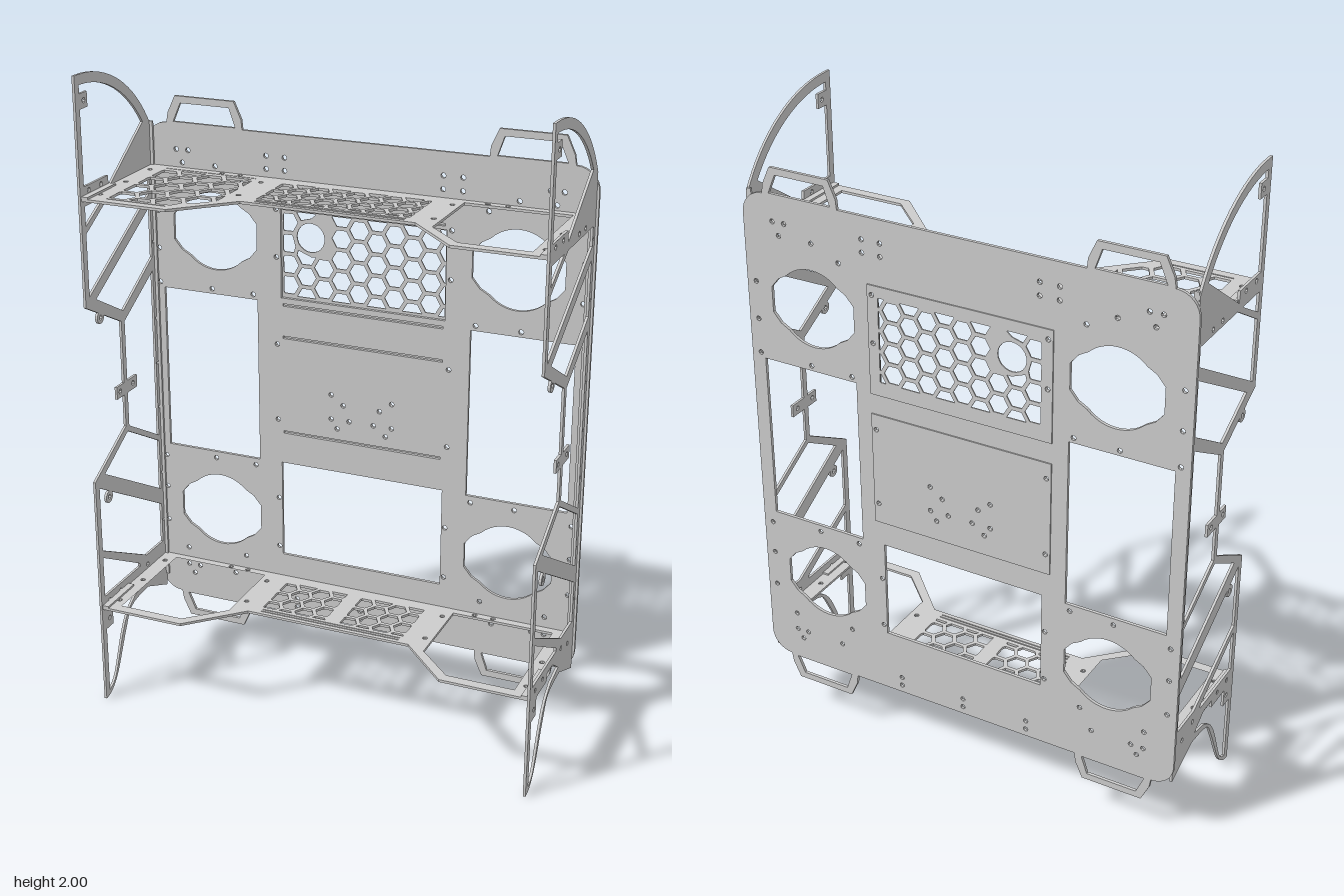
import * as THREE from 'three';

const grey = new THREE.MeshStandardMaterial({ color: 0xcccccc });
const V = (p) => new THREE.Vector2(p[0], p[1]);
const rect = (x0, y0, x1, y1) => [[x0, y0], [x1, y0], [x1, y1], [x0, y1]];
const mirror = (pts) => pts.map(([x, y]) => [-x, y]);
const arc = (cx, cy, r, a0, a1, n) => Array.from({ length: n + 1 }, (_, i) => {
  const a = THREE.MathUtils.degToRad(a0 + (a1 - a0) * i / n);
  return [cx + r * Math.cos(a), cy + r * Math.sin(a)];
});
const ring = (cx, cy, r, n) => arc(cx, cy, r, 0, 360 - 360 / n, n - 1);
const screw = ([x, y]) => ring(x, y, 0.008, 8);

// Flat sheet cut from an outline with holes
function sheet(outline, holes, depth) {
  const s = new THREE.Shape(outline.map(V));
  holes.forEach((h) => s.holes.push(new THREE.Path(h.map(V))));
  return new THREE.ExtrudeGeometry(s, { depth, bevelEnabled: false });
}

function add(parent, name, geometry) {
  const m = new THREE.Mesh(geometry, grey);
  m.name = name;
  parent.add(m);
  return m;
}

function box(parent, name, x0, x1, y0, y1, z0, z1) {
  const g = new THREE.BoxGeometry(x1 - x0, y1 - y0, z1 - z0);
  return add(parent, name, g.translate((x0 + x1) / 2, (y0 + y1) / 2, (z0 + z1) / 2));
}

// Clip a polygon to a convex counter-clockwise region
function clip(poly, region) {
  region.forEach((a, i) => {
    const b = region[(i + 1) % region.length];
    const side = (p) => (b[0] - a[0]) * (p[1] - a[1]) - (b[1] - a[1]) * (p[0] - a[0]);
    const out = [];
    poly.forEach((p, k) => {
      const q = poly[(k + 1) % poly.length], sp = side(p), sq = side(q);
      if (sp >= 0) out.push(p);
      if ((sp > 0 && sq < 0) || (sp < 0 && sq > 0)) {
        const t = sp / (sp - sq);
        out.push([p[0] + (q[0] - p[0]) * t, p[1] + (q[1] - p[1]) * t]);
      }
    });
    poly = out;
  });
  return poly;
}

// Honeycomb holes filling a region; pitch and r are hexagon radii
function honeycomb(region, pitch, r) {
  const xs = region.map((p) => p[0]), ys = region.map((p) => p[1]);
  const x0 = Math.min(...xs), x1 = Math.max(...xs), y0 = Math.min(...ys), y1 = Math.max(...ys);
  const row = Math.sqrt(3) * pitch, holes = [];
  for (let i = 0, x = x0 + r * 0.6; x < x1 + r; x = x0 + r * 0.6 + ++i * 1.5 * pitch)
    for (let y = y0 + (i % 2 ? 0 : row / 2); y < y1 + r; y += row) {
      const h = clip(ring(x, y, r, 6), region);
      if (h.length > 2 && Math.abs(THREE.ShapeUtils.area(h.map(V))) > r * r * 0.25) holes.push(h);
    }
  return holes;
}

// Round port with a step on both sides
function port(cx, cy) {
  const right = [[0.115, -0.07], [0.14, -0.04], [0.14, 0.04], [0.115, 0.07]];
  const r = 0.122;
  const local = [...right, ...arc(0, 0, r, 45, 135, 12),
    ...right.map(([x, y]) => [-x, -y]), ...arc(0, 0, r, 225, 315, 12)];
  return local.map(([x, y]) => [x + cx, y + cy]);
}

function backPlate() {
  const g = new THREE.Group();
  g.name = 'backPlate';
  const half = [
    [.61, 1.7], [.57, 1.7], [.59, 1.66], [.31, 1.71], [.25, 1.71], [.31, 1.67], [.25, 1.67], [.48, 1.66],
    [.39, 1.62], [.61, .3], [.57, .3], [.59, .27], [.44, .3], [.61, .36], [.4, .37], [.22, .25], [.22, .22],
    ...[1.5, 1.38, 1.27, .68, .57, .45].map((y) => [.68, y]),
    ...[1.55, 1.4, 1.12, .87, .6, .43].map((y) => [.28, y]),
    [.5, 1.27], [.36, 1.27], [.5, .7], [.36, .7],
    [.1, .98], [.06, .95], [.1, .9], [.04, .9], [.08, .87],
  ];
  const screws = [...half, ...mirror(half), [0, .25], [0, .22]];
  const c = 0.07, X = 0.71, y0 = 0.195, y1 = 1.78;
  const outline = [
    ...arc(X - c, y1 - c, c, 0, 90, 8), ...arc(c - X, y1 - c, c, 90, 180, 8),
    ...arc(c - X, y0 + c, c, 180, 270, 8), ...arc(X - c, y0 + c, c, 270, 360, 8)];
  const sideWindow = rect(.345, .722, .665, 1.254);
  const holes = [
    sideWindow, mirror(sideWindow), rect(-.268, .403, .268, .725), rect(-.265, 1.272, .265, 1.55),
    ...[.83, 1.145, 1.25, 1.565].map((y) => rect(-.26, y - .004, .26, y + .004)),
    ...[.52, 1.455].flatMap((y) => [port(.485, y), port(-.485, y)]),
    ...screws.map(screw)];
  add(g, 'plate', sheet(outline, holes, .01)).position.z = -.218;

  // Rear cover panels, the upper one perforated around a round cable hole
  const inside = (a, b) => screws.filter(([x, y]) => Math.abs(x) < .29 && y > a && y < b).map(screw);
  add(g, 'centrePanel', sheet(rect(-.295, .805, .295, 1.17), inside(.81, 1.16), .004)).position.z = -.222;
  const cx = -.17, cy = 1.47, clear = 0.06;
  const mesh = honeycomb(rect(-.26, 1.28, .26, 1.545), .038, .031)
    .filter((h) => {
      const mx = h.reduce((s, p) => s + p[0], 0) / h.length, my = h.reduce((s, p) => s + p[1], 0) / h.length;
      return Math.hypot(mx - cx, my - cy) > clear;
    })
    .map((h) => h.map(([x, y]) => {
      const k = Math.max(1, clear / Math.hypot(x - cx, y - cy));
      return [cx + (x - cx) * k, cy + (y - cy) * k];
    }));
  const vent = sheet(rect(-.295, 1.235, .295, 1.58), [...mesh, ring(cx, cy, .045, 24), ...inside(1.24, 1.57)], .004);
  add(g, 'ventPanel', vent).position.z = -.222;

  // Four carrying handles
  for (const sx of [-1, 1]) for (const top of [true, false]) {
    const place = ([x, h]) => [sx * (.5 + x), top ? y1 + h : y0 - h];
    const outer = [[-.113, 0], [-.11, .03], [-.086, .083], [.11, .083], [.135, .03], [.14, 0]].reverse();
    const inner = [[-.09, .004], [-.07, .062], [.092, .062], [.117, .004]];
    add(g, 'handle', sheet(outer.map(place), [inner.map(place)], .01)).position.z = -.218;
  }
  return g;
}

// Horizontal shelf, drawn in x and z
function shelf(name, y, extraHoles) {
  const right = [[.267, .057], [.424, .215], [.7, .215], [.7, -.208]];
  const outline = [...right, ...mirror(right).reverse()];
  const half = [[.67, -.15], [.67, 0], [.67, .15], [.3, -.15], [.3, 0], [.45, -.196], [.39, -.196]];
  const screws = [...half, ...mirror(half)].map(screw);
  const slits = [.03, .042].map((z) => rect(-.23, z - .002, .23, z + .002));
  const geo = sheet(outline, [...extraHoles, ...screws, ...slits], .008).rotateX(Math.PI / 2);
  const m = new THREE.Mesh(geo, grey);
  m.name = name;
  m.position.y = y;
  return m;
}

// Side frame, drawn in z and y
function sideFrame(sign) {
  const g = new THREE.Group();
  g.name = sign > 0 ? 'leftSideFrame' : 'rightSideFrame';
  const curve = (pts) => new THREE.SplineCurve(pts.map(V)).getPoints(18).map((p) => [p.x, p.y]);
  const outline = [
    [.22, 2], ...arc(.2, 1.525, .475, 90, 149, 16), [-.207, .205],
    ...curve([[-.074, .26], [.03, .245], [.074, .186], [.138, .058], [.18, .012], [.215, 0]]),
    [.22, 0], [.22, .755], [.02, .865], [.02, 1.21], [.22, 1.315]];
  const holes = [
    [[.197, 1.97], ...arc(.2, 1.525, .445, 92, 144, 14), [.056, 1.64], [.06, 1.676], [.197, 1.676]],
    [[.197, 1.618], [.085, 1.618], [.197, 1.557]],
    [[.197, 1.535], [.05, 1.618], [-.187, 1.618], [-.187, 1.56], [.197, 1.343]],
    [[.16, 1.325], [-.187, 1.52], [-.187, 1.353], [.005, 1.24]],
    [[0, 1.205], [-.187, 1.31], [-.187, .755], [0, .86]],
    [[.16, .76], [.01, .845], [-.187, .735], [-.187, .565]],
    [[.197, .727], [-.187, .51], [-.187, .375], [-.075, .375], [.197, .515]],
    [[.197, .49], [-.03, .365], [-.03, .355], [.197, .355]],
    [[.197, .3], [.06, .3], [.06, .325], [0, .325], [-.06, .285],
      ...curve([[.01, .27], [.06, .235], [.1, .175], [.155, .05], [.197, .02]])],
    ...[.45, .62, .85, 1.0, 1.15, 1.4, 1.58].map((y) => ring(-.197, y, .005, 6)),
    ...[[.17, 1.66], [.1, 1.66], [.17, .33], [.1, .33], [-.05, 1.635], [-.11, 1.635], [-.08, .34], [-.15, .32]].map(screw),
  ];
  const t = .008, x0 = sign > 0 ? .695 : -.703;
  const place = (name, geo) => { add(g, name, geo.rotateY(-Math.PI / 2)).position.x = x0 + t; };
  place('frame', sheet(outline, holes, t));
  place('middleBracket', sheet(rect(-.06, .97, .065, 1.01), [screw([.045, .99]), screw([-.035, .99])], t));
  for (const y of [1.262, .675]) place('ear', sheet(ring(.14, y, .02, 14), [ring(.14, y, .008, 8)], t));
  for (const [a, b] of [[1.9, 1.945], [.24, .3]])
    place('tab', sheet(rect(.155, a, .2, b), [screw([.175, (a + b) / 2])], t));

  // Bent flanges joining the back plate and the shelves
  const [a, b] = sign > 0 ? [.685, .7] : [-.7, -.685];
  box(g, 'rearFlange', a, b, .25, 1.78, -.208, -.201);
  const [c, d] = sign > 0 ? [.675, .7] : [-.7, -.675];
  for (const y of [1.645, .326]) box(g, 'shelfFlange', c, d, y, y + .006, .05, .215);
  return g;
}

export function createModel() {
  const model = new THREE.Group();
  model.name = 'mountingFrame';
  model.add(backPlate(), sideFrame(1), sideFrame(-1));

  const cutout = [[.324, -.183], [.645, -.183], [.645, .183], [.435, .183], [.324, .076]];
  const leftMesh = [[-.63, -.165], [-.33, -.165], [-.33, .08], [-.42, .17], [-.63, .17]];
  model.add(shelf('upperShelf', 1.645, [
    cutout, ...honeycomb(leftMesh, .05, .042), ...honeycomb(rect(-.235, -.165, .235, .015), .038, .031),
    rect(-.63, -.182, -.33, -.178), rect(-.63, .183, -.44, .187)]));
  model.add(shelf('lowerShelf', .326, [
    cutout, mirror(cutout), ...honeycomb(rect(-.235, -.165, -.025, .015), .038, .031),
    ...honeycomb(rect(.025, -.165, .235, .015), .038, .031)]));
  return model;
}
